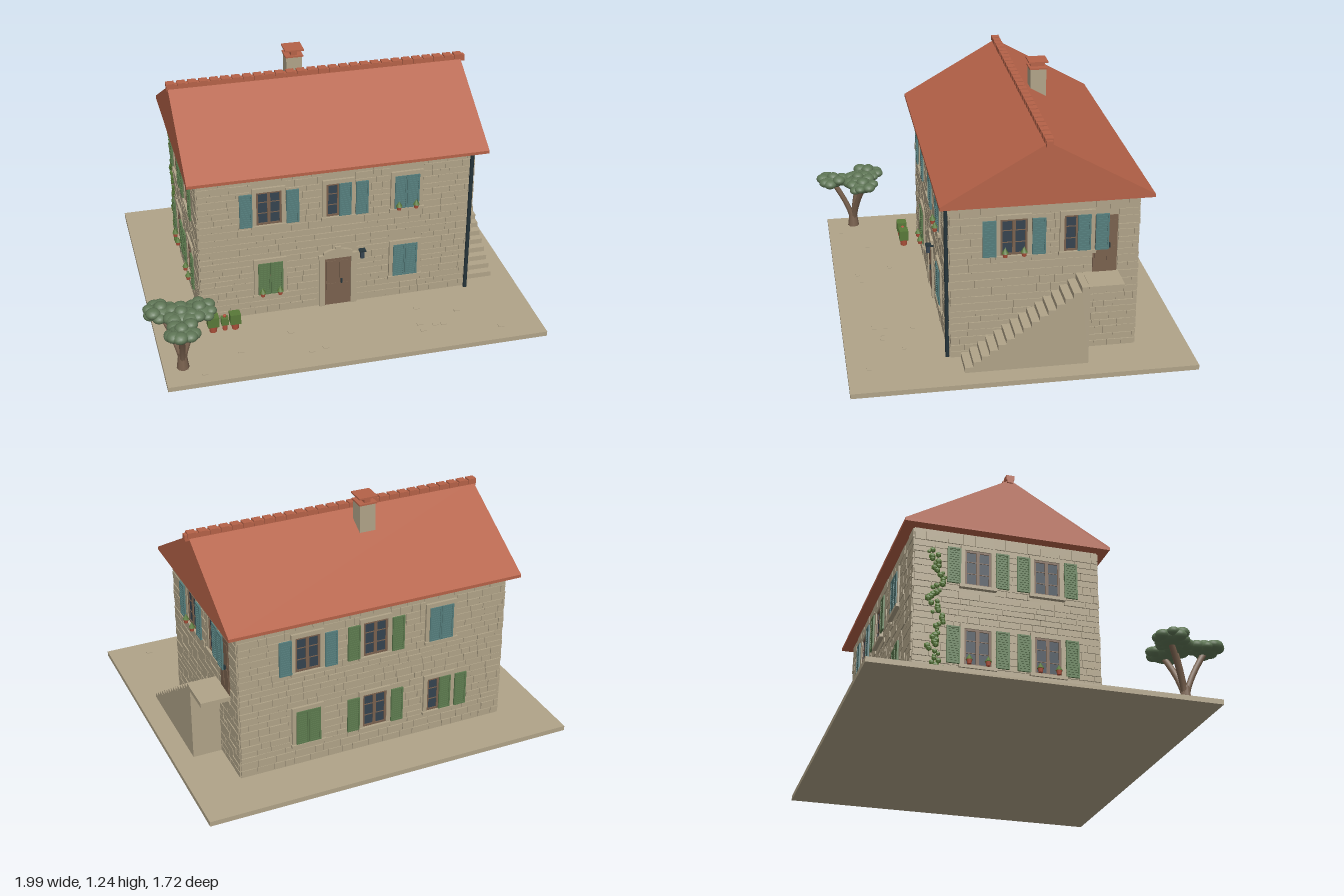
import * as THREE from 'three';
import { mergeGeometries } from 'three/addons/utils/BufferGeometryUtils.js';

const paint = (name, color) => Object.assign(new THREE.MeshStandardMaterial({ color }), { name });
const M = {
  stone: paint('stone', 0xb0a388), roof: paint('roof tile', 0xb56248),
  teal: paint('teal shutter', 0x557d7c), green: paint('green shutter', 0x5c7a4e),
  wood: paint('wood', 0x79614e), glass: paint('glass', 0x35434f),
  metal: paint('dark metal', 0x25343a), foliage: paint('foliage', 0x5f7656),
  pot: paint('terracotta', 0xb2533c), hedge: paint('hedge', 0x587838),
};

let seed = 7;
const rnd = (a = 0, b = 1) => {
  seed = (seed * 16807) % 2147483647;
  return a + (b - a) * seed / 2147483647;
};

// Box geometry from its limits
const boxGeo = (x0, x1, y0, y1, z0, z1) =>
  new THREE.BoxGeometry(x1 - x0, y1 - y0, z1 - z0).translate((x0 + x1) / 2, (y0 + y1) / 2, (z0 + z1) / 2);

function add(parent, name, geo, mat) {
  const mesh = new THREE.Mesh(geo, mat);
  mesh.name = name;
  parent.add(mesh);
  return mesh;
}
const box = (parent, name, mat, ...limits) => add(parent, name, boxGeo(...limits), mat);

// Louvred shutter leaf
function shutter(wall, u0, u1, y0, y1, z, mat) {
  const f = 0.008, parts = [
    boxGeo(u0, u1, y0, y1, z, z + 0.004),
    boxGeo(u0, u0 + f, y0, y1, z, z + 0.009), boxGeo(u1 - f, u1, y0, y1, z, z + 0.009),
    boxGeo(u0, u1, y0, y0 + f, z, z + 0.009), boxGeo(u0, u1, y1 - f, y1, z, z + 0.009),
  ];
  for (let y = y0 + 0.014; y < y1 - 0.014; y += 0.012) parts.push(boxGeo(u0 + f, u1 - f, y, y + 0.005, z, z + 0.007));
  add(wall, 'shutter', mergeGeometries(parts), mat);
}

function flowerPot(wall, u, y) {
  add(wall, 'flowerPot', new THREE.CylinderGeometry(0.014, 0.01, 0.022, 8).translate(u, y + 0.011, 0.03), M.pot);
  add(wall, 'potPlant', new THREE.ConeGeometry(0.017, 0.03, 7).translate(u, y + 0.035, 0.03), M.hedge);
}

// Window with stone surround; mode is open, closed or half
function makeWindow(wall, u, y0, mode, mat, pots) {
  const y1 = y0 + 0.185, h = 0.064;
  const surround = [
    boxGeo(u - h - 0.02, u - h, y0, y1, -0.002, 0.013), boxGeo(u + h, u + h + 0.02, y0, y1, -0.002, 0.013),
    boxGeo(u - h - 0.02, u + h + 0.02, y1, y1 + 0.022, -0.002, 0.013),
    boxGeo(u - h - 0.026, u + h + 0.026, y0 - 0.016, y0, -0.002, 0.022),
  ];
  add(wall, 'windowSurround', mergeGeometries(surround), M.stone);
  box(wall, 'glass', M.glass, u - h, u + h, y0, y1, -0.002, 0.003);
  const t = 0.01, frame = [
    boxGeo(u - h, u - h + t, y0, y1, 0, 0.008), boxGeo(u + h - t, u + h, y0, y1, 0, 0.008),
    boxGeo(u - h, u + h, y0, y0 + t, 0, 0.008), boxGeo(u - h, u + h, y1 - t, y1, 0, 0.008),
    boxGeo(u - 0.008, u + 0.008, y0, y1, 0, 0.008),
  ];
  for (const k of [0.35, 0.68]) frame.push(boxGeo(u - h, u + h, y0 + k * 0.185 - 0.002, y0 + k * 0.185 + 0.002, 0, 0.006));
  add(wall, 'windowFrame', mergeGeometries(frame), M.wood);
  if (mode === 'open') shutter(wall, u - 0.15, u - 0.086, y0, y1, 0.014, mat);
  if (mode !== 'closed') shutter(wall, u + 0.086, u + 0.15, y0, y1, 0.014, mat);
  if (mode === 'closed') shutter(wall, u - h, u - 0.001, y0, y1, 0.009, mat);
  if (mode !== 'open') shutter(wall, u + 0.001, u + h, y0, y1, 0.009, mat);
  if (pots) for (const s of [-1, 1]) flowerPot(wall, u + s * 0.045, y0);
  return [u - 0.085, u + 0.085, y0 - 0.016, y1 + 0.022];
}

// Irregular courses of raised stones around the openings
function stonework(wall, u0, u1, holes) {
  const stones = [];
  for (let y = 0.028; y < 0.8;) {
    let h = rnd(0.028, 0.044);
    if (y + h > 0.8) h = 0.83 - y;
    const row = holes.filter(r => r[2] < y + h && r[3] > y);
    for (let u = u0; u < u1 - 0.012;) {
      const inside = row.find(r => u >= r[0] - 0.012 && u < r[1]);
      if (inside) { u = inside[1]; continue; }
      let end = Math.min(u1, u + rnd(0.04, 0.11));
      for (const r of row) if (r[0] > u && r[0] < end) end = r[0];
      stones.push(boxGeo(u + 0.002, end - 0.002, y + 0.002, y + h - 0.002, -0.001, rnd(0.003, 0.007)));
      u = end;
    }
    y += h;
  }
  add(wall, 'wallStones', mergeGeometries(stones), M.stone);
}

function makeWall(house, name, x, z, turn) {
  const wall = new THREE.Group();
  wall.name = name;
  wall.position.set(x, 0, z);
  wall.rotation.y = turn;
  house.add(wall);
  return wall;
}

function plankDoor(wall, u0, u1, y0, y1) {
  box(wall, 'door', M.wood, u0, u1, y0, y1, -0.002, 0.006);
  const w = (u1 - u0) / 2;
  for (let i = 0; i < 2; i++) for (const [a, b] of [[0.08, 0.45], [0.52, 0.92]])
    box(wall, 'doorPanel', M.wood, u0 + i * w + 0.01, u0 + (i + 1) * w - 0.01,
      y0 + a * (y1 - y0), y0 + b * (y1 - y0), 0.004, 0.009);
  box(wall, 'doorHandle', M.metal, u0 + w + 0.015, u0 + w + 0.023, y0 + 0.13, y0 + 0.155, 0.005, 0.016);
}

function makeTree() {
  const tree = new THREE.Group();
  tree.name = 'tree';
  const crowns = [[-0.91, 0.56], [-0.73, 0.6], [-0.84, 0.76], [-0.82, 0.62]];
  for (const [x, z] of crowns) {
    const path = new THREE.QuadraticBezierCurve3(new THREE.Vector3(-0.83, 0.02, 0.655),
      new THREE.Vector3(-0.83, 0.12, 0.655), new THREE.Vector3(x, 0.29, z));
    add(tree, 'branch', new THREE.TubeGeometry(path, 6, 0.015, 7), M.wood);
    const leaves = [];
    for (let i = 0; i < 10; i++) {
      const a = i * 2.4, d = i ? 0.057 : 0, r = rnd(0.028, 0.042);
      leaves.push(new THREE.IcosahedronGeometry(r, 2).scale(1, 0.7, 1)
        .translate(x + d * Math.cos(a), 0.308 + (i ? rnd(-0.012, 0.018) : 0.022), z + d * Math.sin(a)));
    }
    leaves.push(new THREE.SphereGeometry(0.065, 12, 8).scale(1, 0.5, 1).translate(x, 0.305, z));
    add(tree, 'crown', mergeGeometries(leaves.map(g => g.index ? g.toNonIndexed() : g)), M.foliage);
  }
  add(tree, 'trunk', new THREE.CylinderGeometry(0.02, 0.032, 0.09, 8).translate(-0.83, 0.065, 0.655), M.wood);
  return tree;
}

export function createModel() {
  const model = new THREE.Group();
  model.name = 'stoneHouse';
  box(model, 'ground', M.stone, -0.925, 0.995, 0, 0.025, -0.865, 0.8);
  for (let i = 0; i < 12; i++) {
    const x = rnd(-0.75, 0.9), z = rnd(0.42, 0.75);
    box(model, 'pavingStone', M.stone, x, x + 0.03, 0.02, 0.028, z, z + 0.02);
  }
  box(model, 'houseBody', M.stone, -0.675, 0.74, 0.02, 0.84, -0.607, 0.3);

  // Front wall
  const front = makeWall(model, 'frontWall', 0, 0.3, 0);
  const frontHoles = [
    makeWindow(front, -0.32, 0.558, 'open', M.teal), makeWindow(front, 0.035, 0.558, 'half', M.teal),
    makeWindow(front, 0.388, 0.558, 'closed', M.teal, true),
    makeWindow(front, -0.318, 0.148, 'closed', M.green, true), makeWindow(front, 0.388, 0.155, 'closed', M.teal),
    [-0.065, 0.13, 0, 0.335],
  ];
  stonework(front, -0.675, 0.74, frontHoles);
  plankDoor(front, -0.035, 0.102, 0.025, 0.312);
  for (const u of [-0.065, 0.102]) box(front, 'doorJamb', M.stone, u, u + 0.03, 0.02, 0.312, -0.002, 0.014);
  const arch = new THREE.Shape([[-0.1, 0.31], [0.1, 0.31], [0.1, 0.33], [0.075, 0.33], [0.075, 0.345], [0.045, 0.357],
    [0.015, 0.363], [0.015, 0.375], [-0.015, 0.375], [-0.015, 0.363], [-0.045, 0.357], [-0.075, 0.345],
    [-0.075, 0.33], [-0.1, 0.33]].map(p => new THREE.Vector2(...p)));
  add(front, 'doorArch', new THREE.ExtrudeGeometry(arch, { depth: 0.016, bevelEnabled: false }).translate(0.033, 0, 0), M.stone);
  box(front, 'lampArm', M.metal, 0.15, 0.158, 0.335, 0.343, 0, 0.04);
  box(front, 'lampCap', M.metal, 0.137, 0.171, 0.345, 0.352, 0.018, 0.048);
  box(front, 'lampBody', M.glass, 0.144, 0.164, 0.305, 0.345, 0.024, 0.043);

  // Right and left gable walls, then the back wall
  const right = makeWall(model, 'leftSideWall', 0.74, 0, Math.PI / 2);
  const rightHoles = [makeWindow(right, 0.005, 0.56, 'open', M.teal, true),
    makeWindow(right, 0.308, 0.56, 'half', M.teal), [0.385, 0.505, 0.42, 0.735]];
  stonework(right, -0.3, 0.607, rightHoles);
  plankDoor(right, 0.385, 0.503, 0.435, 0.73);

  const left = makeWall(model, 'rightSideWall', -0.675, 0, -Math.PI / 2);
  stonework(left, -0.607, 0.3, [makeWindow(left, -0.3, 0.558, 'open', M.green), makeWindow(left, 0.04, 0.558, 'open', M.green),
    makeWindow(left, -0.3, 0.15, 'open', M.green, true), makeWindow(left, 0.04, 0.15, 'open', M.green, true)]);

  const back = makeWall(model, 'backWall', 0, -0.607, Math.PI);
  stonework(back, -0.74, 0.675, [
    makeWindow(back, -0.39, 0.558, 'open', M.teal), makeWindow(back, -0.035, 0.558, 'open', M.green),
    makeWindow(back, 0.32, 0.558, 'closed', M.teal), makeWindow(back, -0.39, 0.15, 'closed', M.green),
    makeWindow(back, -0.035, 0.15, 'open', M.green), makeWindow(back, 0.32, 0.15, 'half', M.green)]);

  // Ivy climbing the side wall
  const ivy = [];
  for (let i = 0; i < 60; i++) ivy.push(new THREE.IcosahedronGeometry(rnd(0.01, 0.018), 0).scale(0.6, 1, 1)
    .translate(-0.687, 0.04 + i * 0.0115, -0.5 + 0.015 * Math.sin(i * 0.3) + rnd(-0.025, 0.025)));
  add(model, 'ivy', mergeGeometries(ivy), M.hedge);

  // Solid gable roof with ridge tiles
  const gable = new THREE.Shape([[-0.35, 0.832], [0.665, 0.832], [0.665, 0.848], [0.155, 1.138], [-0.35, 0.848]]
    .map(p => new THREE.Vector2(...p)));
  const roofGeo = new THREE.ExtrudeGeometry(gable, { depth: 1.527, bevelEnabled: false });
  add(model, 'roof', roofGeo.rotateY(Math.PI / 2).translate(-0.728, 0, 0), M.roof);
  const ridge = [];
  for (let i = 0; i < 28; i++) {
    const x = -0.735 + i * 0.0555;
    ridge.push(boxGeo(x, x + 0.057, 1.12, 1.152, -0.17, -0.14), boxGeo(x, x + 0.042, 1.135, 1.16, -0.175, -0.135));
  }
  add(model, 'ridgeTiles', mergeGeometries(ridge), M.roof);

  // Chimney
  box(model, 'chimneyShaft', M.stone, -0.107, -0.024, 1.0, 1.2, -0.303, -0.222);
  box(model, 'chimneyLedge', M.roof, -0.112, -0.019, 1.198, 1.206, -0.308, -0.217);
  box(model, 'chimneyVent', M.roof, -0.082, -0.05, 1.205, 1.235, -0.298, -0.227);
  box(model, 'chimneyCap', M.roof, -0.114, -0.016, 1.232, 1.24, -0.312, -0.213);

  // Downpipe
  add(model, 'downpipe', new THREE.CylinderGeometry(0.01, 0.01, 0.81, 10).translate(0.724, 0.43, 0.313), M.metal);

  // Outside stair and its landing
  const steps = 15, run = 0.595 / steps, rise = 0.41 / steps;
  const profile = [new THREE.Vector2(0.345, 0.02), new THREE.Vector2(0.345, 0.435)];
  for (let i = steps - 1; i >= 0; i--) {
    profile.push(new THREE.Vector2(-0.25 + i * run, 0.025 + (i + 1) * rise), new THREE.Vector2(-0.25 + i * run, 0.025 + i * rise));
  }
  const stair = new THREE.ExtrudeGeometry(new THREE.Shape(profile), { depth: 0.15, bevelEnabled: false });
  add(model, 'stair', stair.rotateY(Math.PI / 2).translate(0.742, 0, 0), M.stone);
  box(model, 'landing', M.stone, 0.74, 0.895, 0.415, 0.437, -0.51, -0.34);

  // Potted hedges
  for (const [x, r, y, top] of [[-0.635, 0.029, 0.062, 0.117], [-0.575, 0.018, 0.06, 0.1], [-0.522, 0.027, 0.062, 0.118]]) {
    add(model, 'planter', new THREE.CylinderGeometry(r * 0.8, r * 0.62, y - 0.02, 10).translate(x, (y + 0.02) / 2, 0.395), M.pot);
    box(model, 'hedge', M.hedge, x - r, x + r, y, top, 0.395 - r * 0.9, 0.395 + r * 0.9);
  }
  add(model, 'flower', new THREE.IcosahedronGeometry(0.01, 0).translate(-0.575, 0.108, 0.395), M.pot);

  model.add(makeTree());
  return model;
}
